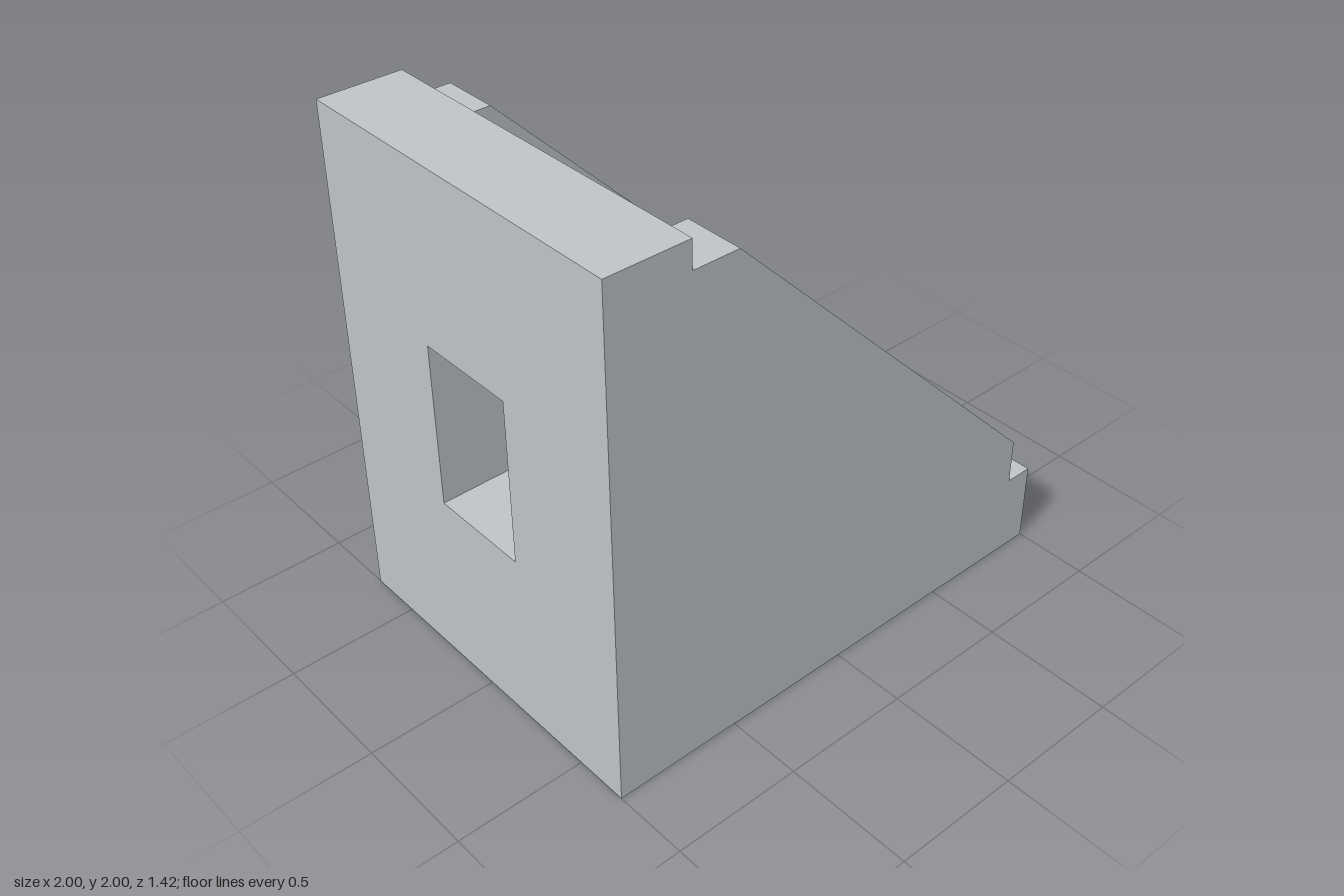
import * as THREE from 'three';

const HALF_Z = 0.71, INNER_Z = 0.485, THICK = 0.32;

// Rectangular outline from corner to corner
function rect(ShapeClass, x0, y0, x1, y1) {
  const s = new ShapeClass();
  s.moveTo(x0, y0).lineTo(x1, y0).lineTo(x1, y1).lineTo(x0, y1).closePath();
  return s;
}

// Plate of the common thickness with a rectangular slot through it
function slottedPlate(outer, slot) {
  const shape = rect(THREE.Shape, ...outer);
  shape.holes.push(rect(THREE.Path, ...slot));
  return new THREE.ExtrudeGeometry(shape, { depth: THICK, bevelEnabled: false });
}

export function createModel() {
  const castMetal = new THREE.MeshStandardMaterial({ color: 0xbfc4c9 });
  castMetal.name = 'castMetal';
  const darkSteel = new THREE.MeshStandardMaterial({ color: 0x6e737b });
  darkSteel.name = 'darkSteel';

  const group = new THREE.Group();
  group.name = 'angleBracket';
  const add = (name, geometry, material) => {
    const mesh = new THREE.Mesh(geometry, material);
    mesh.name = name;
    group.add(mesh);
    return mesh;
  };

  // Foot plate lying flat, slot along x
  const foot = slottedPlate([-1, -INNER_Z, 1, INNER_Z], [-0.32, -0.195, 0.32, 0.195]);
  foot.rotateX(-Math.PI / 2);
  add('footPlate', foot, castMetal);

  // Upright plate, slot along y
  const wall = slottedPlate([-INNER_Z, THICK, INNER_Z, 2], [-0.2, 0.685, 0.2, 1.325]);
  wall.rotateY(Math.PI / 2).translate(-1, 0, 0);
  add('uprightPlate', wall, castMetal);

  // Side gussets with stepped ends and a sloping edge
  const profile = new THREE.Shape([
    [-1, 0], [1, 0], [1, 0.32], [0.89, 0.32], [0.89, 0.5],
    [-0.5, 1.895], [-0.68, 1.895], [-0.68, 2], [-1, 2],
  ].map(([x, y]) => new THREE.Vector2(x, y)));
  const gusset = new THREE.ExtrudeGeometry(profile, { depth: HALF_Z - INNER_Z, bevelEnabled: false });
  add('leftGusset', gusset, castMetal).position.z = INNER_Z;
  add('rightGusset', gusset, castMetal).position.z = -HALF_Z;

  // Bolt heads: one standing out from the upright, one sunk in the foot slot
  const head = new THREE.CylinderGeometry(0.315, 0.315, 0.235, 64);
  const wallBolt = add('uprightBoltHead', head, darkSteel);
  wallBolt.rotation.z = -Math.PI / 2;
  wallBolt.position.set(-0.5665, 1.005, 0);
  add('footBoltHead', head, darkSteel).position.set(0, 0.2, 0);

  return group;
}
